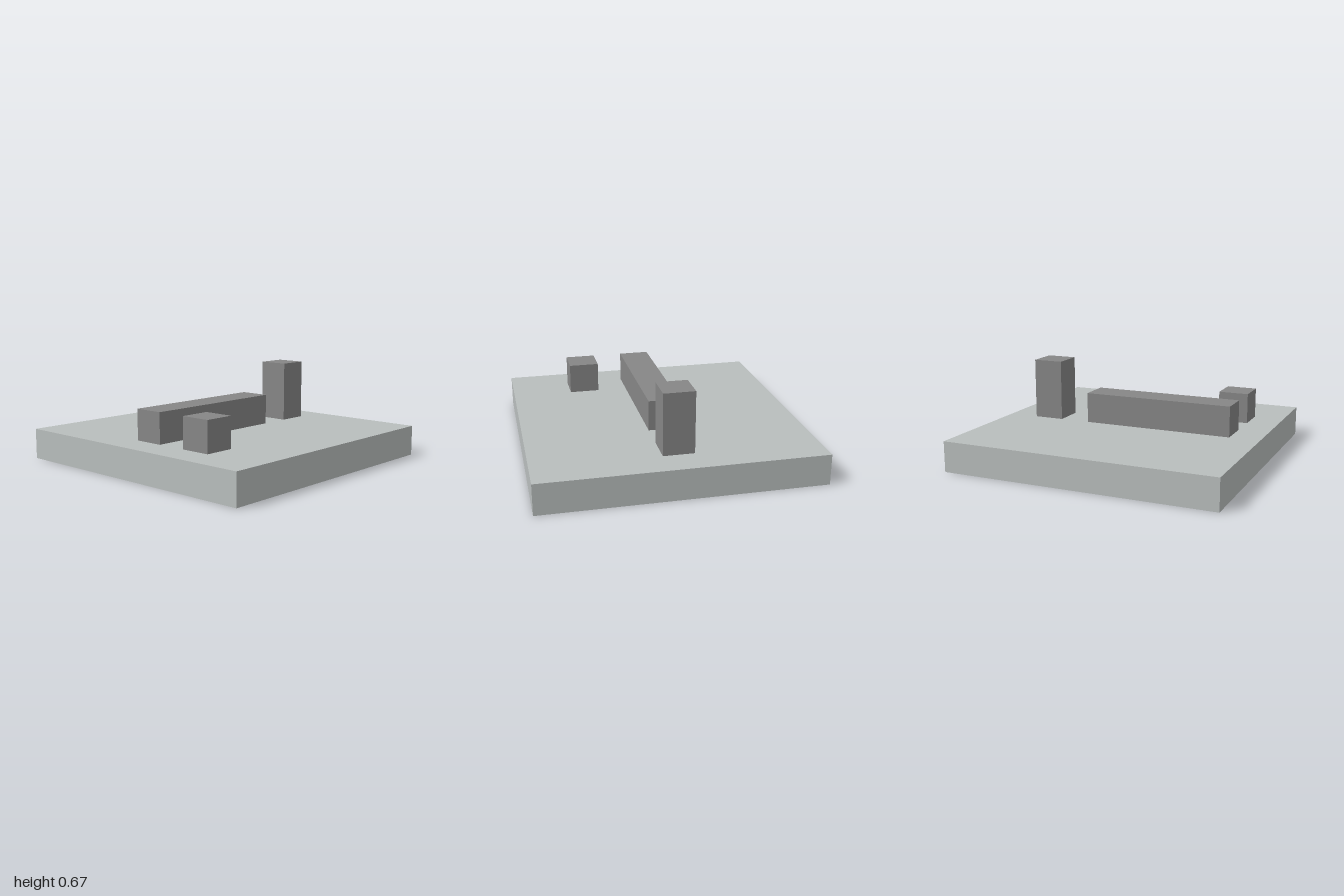
import * as THREE from 'three';

export function createModel() {
  const model = new THREE.Group();
  model.name = 'slabWithBlocks';
  const u = 2 / 9; // grid module: the slab is nine modules wide

  const paleStone = new THREE.MeshStandardMaterial({ color: 0xb9bebd });
  paleStone.name = 'pale stone';
  const darkStone = new THREE.MeshStandardMaterial({ color: 0x868686 });
  darkStone.name = 'dark stone';

  // Box sized in modules, standing on height y
  const addBlock = (name, material, [w, h, d], [x, y, z]) => {
    const mesh = new THREE.Mesh(new THREE.BoxGeometry(w * u, h * u, d * u), material);
    mesh.position.set(x * u, (y + h / 2) * u, z * u);
    mesh.name = name;
    model.add(mesh);
  };

  addBlock('baseSlab', paleStone, [9, 1, 9], [0, 0, 0]);
  addBlock('longBar', darkStone, [5, 1, 1], [-1, 1, 0]);
  addBlock('tallPillar', darkStone, [1, 2, 1], [3, 1, 0]);
  addBlock('smallCube', darkStone, [1, 1, 1], [-3, 1, 2]);

  return model;
}
